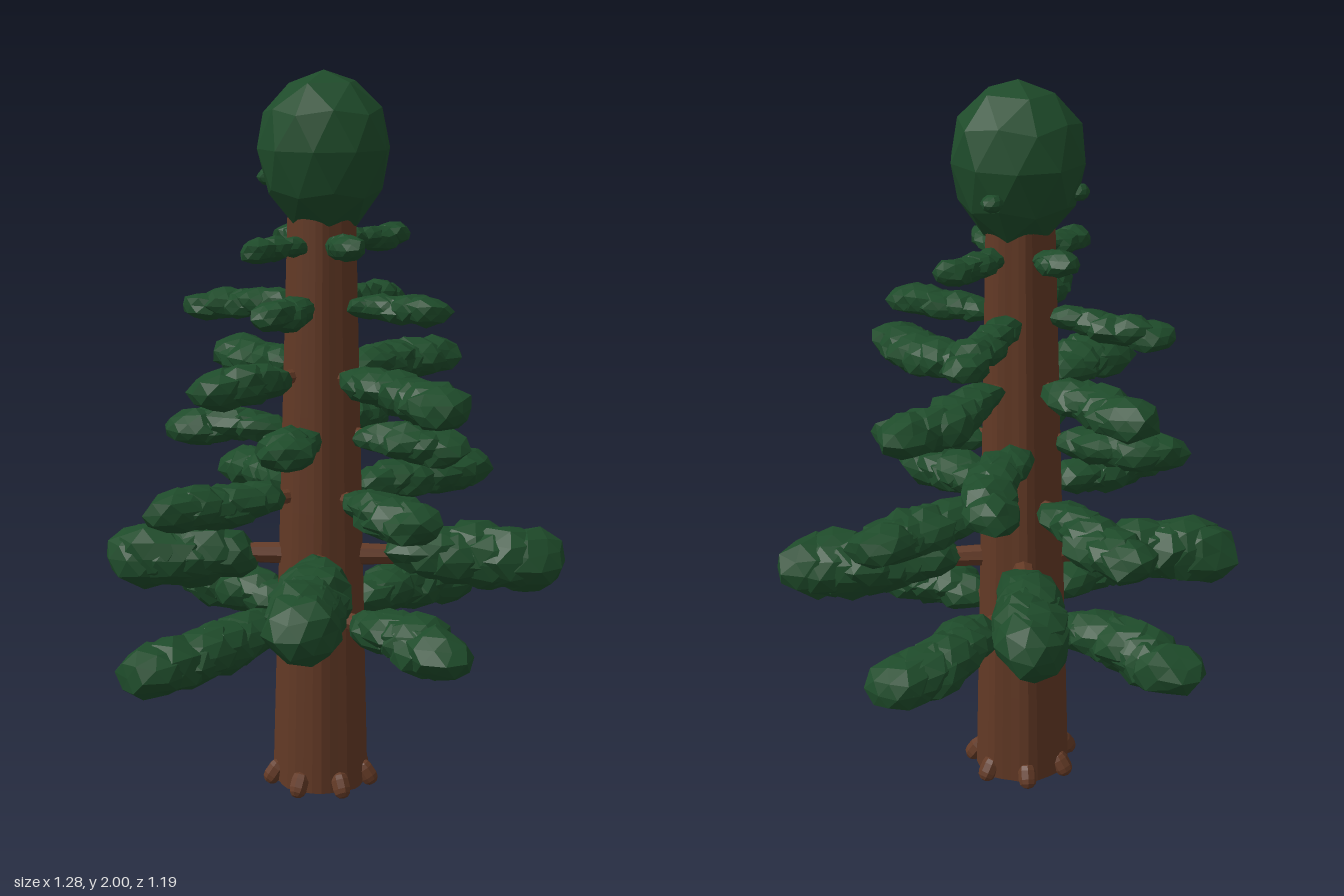
import * as THREE from 'three';

const bark = new THREE.MeshStandardMaterial({ color: 0x623925, flatShading: true });
const needles = new THREE.MeshStandardMaterial({ color: 0x1e4b2a, flatShading: true });
const CX = 0.04, CZ = 0.01; // trunk axis

function seeded(seed) {
  return () => {
    seed = (seed * 16807) % 2147483647;
    return seed / 2147483647;
  };
}

// Faceted ball whose shared corners are pushed in and out together
function roughBall(amount, seed) {
  const geo = new THREE.IcosahedronGeometry(1, 1);
  geo.rotateX(-1.017); // a corner at the very top
  const p = geo.attributes.position, v = new THREE.Vector3();
  const rand = seeded(seed), seen = new Map();
  for (let i = 0; i < p.count; i++) {
    v.fromBufferAttribute(p, i);
    const key = v.toArray().map(n => Math.round(n * 500) + 0).join();
    if (!seen.has(key)) seen.set(key, 1 + (rand() - 0.5) * amount);
    v.multiplyScalar(seen.get(key));
    p.setXYZ(i, v.x, v.y, v.z);
  }
  geo.computeVertexNormals();
  return geo;
}

function addMesh(parent, name, geo, mat, x = 0, y = 0, z = 0) {
  const mesh = new THREE.Mesh(geo, mat);
  mesh.name = name;
  mesh.position.set(x, y, z);
  parent.add(mesh);
  return mesh;
}

// One limb: a woody stub and a row of flattened needle clumps out to a blunt tip
function makeBranch(tipX, tipZ, y, drop, tier, seed) {
  const { w, h, start } = tier;
  const rand = seeded(seed * 7919 + 13);
  const branch = new THREE.Group();
  branch.name = 'branch';
  branch.position.set(CX, y, CZ);
  const dx = tipX - CX, dz = tipZ - CZ, length = Math.hypot(dx, dz);
  branch.rotation.y = Math.atan2(-dz, dx);

  const stubLength = Math.min(0.26, length * 0.6);
  const stub = addMesh(branch, 'branchStub',
    new THREE.CylinderGeometry(h * 0.3, h * 0.4, stubLength, 8), bark, stubLength / 2);
  stub.rotation.z = -Math.PI / 2;

  const span = length - start;
  const reach = Math.min(w * 1.15, span / 2.6);
  const count = Math.max(3, Math.round(span / 0.07));
  const sway = (rand() - 0.5) * 0.05;
  for (let i = 0; i < count; i++) {
    const t = i / (count - 1);
    const swell = 0.74 + 0.28 * Math.sin(Math.PI * (0.05 + 0.6 * t));
    const clump = addMesh(branch, 'needleClump', roughBall(0.24, seed * 31 + i + 1), needles,
      THREE.MathUtils.lerp(start + reach, length - reach, t),
      -drop * t + (rand() - 0.5) * h * 0.25,
      sway * Math.sin(Math.PI * t) + (rand() - 0.5) * 0.015);
    clump.scale.set(reach * 1.03, h * swell, w * swell);
    clump.rotation.x = (rand() - 0.5) * 0.4;
  }
  return branch;
}

// Tiers: height, half width, half height, bare length, then tips as [x, z, drop]
const tiers = [
  { y: 0.51, w: 0.09, h: 0.07, start: 0.12, tips: [[0.635, 0.03, 0.01], [0.02, 0.545, 0.01], [-0.645, -0.02, 0.035], [0.07, -0.595, 0.01]] },
  { y: 0.68, w: 0.1, h: 0.088, start: 0.17, tips: [[0.5, 0.515, 0.01], [-0.51, 0.485, 0], [-0.37, -0.445, 0.02], [0.495, -0.375, 0.02]] },
  { y: 0.86, w: 0.085, h: 0.057, start: 0.11, tips: [[0.605, 0.13, 0], [-0.02, 0.46, 0.01], [-0.48, -0.12, 0], [0.19, -0.51, 0.03]] },
  { y: 1.03, w: 0.075, h: 0.052, start: 0.09, tips: [[0.21, 0.39, 0.02], [-0.28, 0.16, 0], [-0.16, -0.4, 0.01], [0.49, -0.22, 0.03]] },
  { y: 1.195, w: 0.08, h: 0.056, start: 0.1, tips: [[0.585, 0.02, 0.015], [-0.05, 0.595, 0.015], [-0.37, -0.05, 0.005], [0.1, -0.46, 0.01]] },
  { y: 1.385, w: 0.06, h: 0.04, start: 0.07, tips: [[0.13, 0.385, 0], [-0.28, 0.11, 0], [-0.1, -0.385, 0.03], [0.455, -0.1, 0.025]] },
  { y: 1.55, w: 0.047, h: 0.035, start: 0.05, tips: [[0.335, 0.05, 0], [-0.03, 0.215, 0], [-0.235, -0.01, 0.01], [0.07, -0.185, 0]] },
];

export function createModel() {
  const tree = new THREE.Group();
  tree.name = 'coniferTree';

  // Tapered trunk with shallow vertical furrows
  const trunkGeo = new THREE.CylinderGeometry(0.09, 0.132, 1.61, 32, 6);
  const p = trunkGeo.attributes.position;
  for (let i = 0; i < p.count; i++) {
    const a = Math.atan2(p.getZ(i), p.getX(i));
    const k = 1 + 0.02 * Math.cos(a * 8) + 0.015 * Math.sin(a * 5);
    p.setX(i, p.getX(i) * k);
    p.setZ(i, p.getZ(i) * k);
  }
  trunkGeo.computeVertexNormals();
  addMesh(tree, 'trunk', trunkGeo, bark, CX, 0.82, CZ);

  // Rounded root knuckles around the foot
  for (let i = 0; i < 7; i++) {
    const root = new THREE.Group();
    root.name = 'root';
    root.position.set(CX, 0, CZ);
    root.rotation.y = -(0.14 + i / 7 * Math.PI * 2);
    const knuckle = addMesh(root, 'rootKnuckle',
      new THREE.CapsuleGeometry(0.026, 0.026, 3, 8), bark, 0.134, 0.038, 0);
    knuckle.rotation.z = 0.6;
    tree.add(root);
  }

  // Branch tiers
  tiers.forEach((tier, t) => {
    tier.tips.forEach(([x, z, drop], i) => tree.add(makeBranch(x, z, tier.y, drop, tier, t * 4 + i + 1)));
  });

  // Egg-shaped crown, longer and narrower toward the trunk
  const crownGeo = roughBall(0.04, 99);
  const c = crownGeo.attributes.position;
  for (let i = 0; i < c.count; i++) {
    const y = c.getY(i), k = 0.18 * (1 - 0.06 * Math.max(0, -y));
    c.setXYZ(i, c.getX(i) * k, y * (y < 0 ? 0.235 : 0.202), c.getZ(i) * k);
  }
  crownGeo.computeVertexNormals();
  addMesh(tree, 'crown', crownGeo, needles, CX, 1.8, CZ + 0.005);

  // Buds poking out of the crown
  for (const [x, y, z] of [[0.21, 1.725, -0.03], [-0.03, 1.72, -0.125]]) {
    const bud = addMesh(tree, 'crownBud', roughBall(0.15, 7), needles, x, y, z);
    bud.scale.set(0.03, 0.023, 0.03);
  }
  return tree;
}
